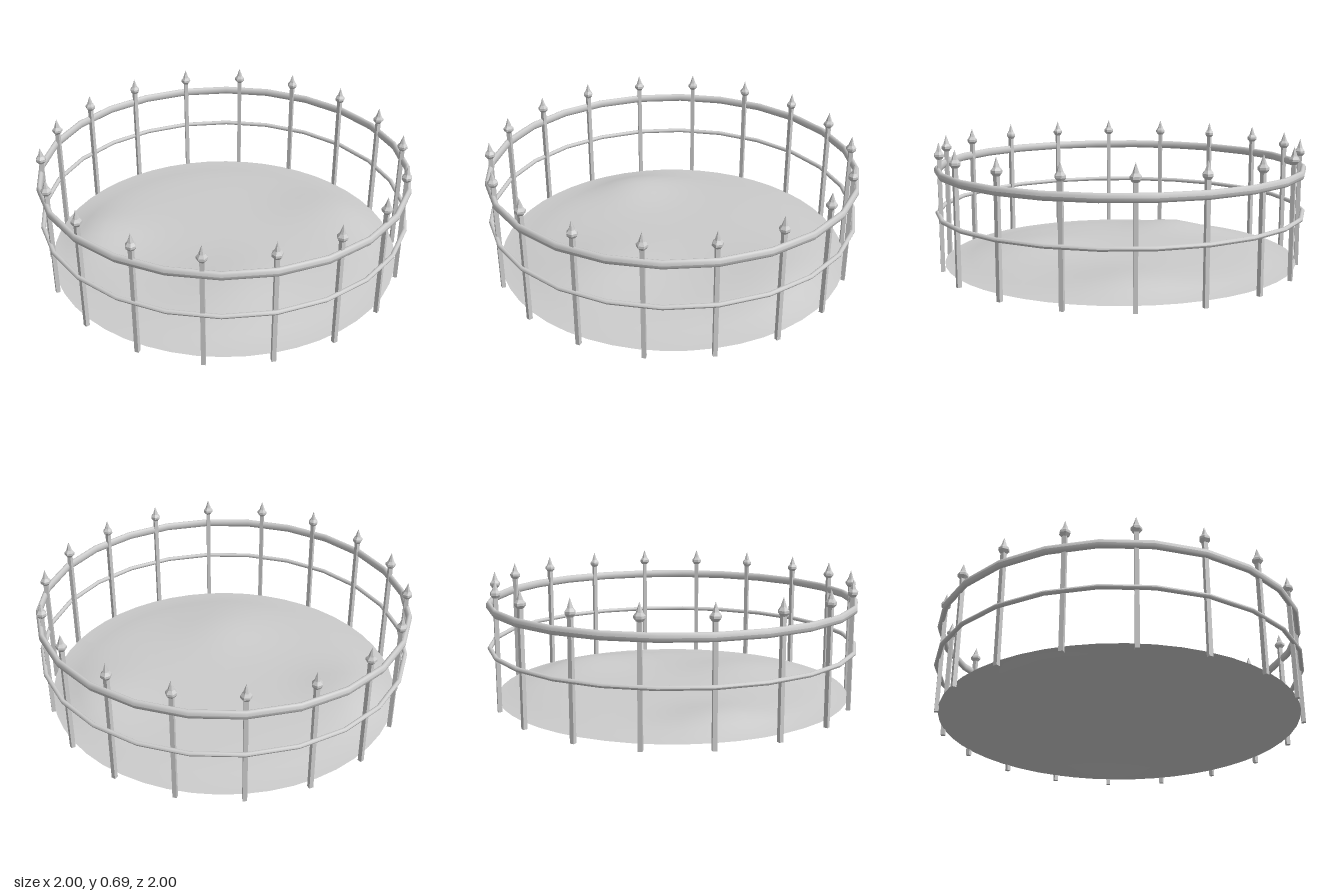
import * as THREE from 'three';

const POSTS = 18, SIDES = 24;
const mat = (opts = {}) => new THREE.MeshStandardMaterial({ color: 0xcccccc, ...opts });

// Ring with an elliptical section, outer edge at radius 1
function makeRail(name, y, halfWidth, halfHeight) {
  const profile = [];
  for (let i = 0; i <= 12; i++) {
    const a = (i / 12) * Math.PI * 2;
    profile.push(new THREE.Vector2(1 - halfWidth + Math.cos(a) * halfWidth, Math.sin(a) * halfHeight));
  }
  const rail = new THREE.Mesh(new THREE.LatheGeometry(profile, SIDES), mat());
  rail.name = name;
  rail.position.y = y;
  return rail;
}

// Uneven ground: a low dome with three soft mounds, falling to a level rim
function makeGround() {
  const radius = 0.958, rimY = 0.032;
  const mounds = [[-0.7, 0.1, 0.04, 0.16], [0.2, 0.43, 0.032, 0.2], [0.55, -0.45, 0.035, 0.2]];
  const geo = new THREE.RingGeometry(0.0001, radius, SIDES * 2, 14);
  geo.rotateX(-Math.PI / 2);
  const pos = geo.attributes.position;
  for (let i = 0; i < pos.count; i++) {
    let x = pos.getX(i), z = pos.getZ(i);
    const r = Math.hypot(x, z) / radius;
    let h = 0.035 * (1 - r ** 4);
    for (const [mx, mz, height, spread] of mounds) {
      const d2 = (x - mx) ** 2 + (z - mz) ** 2;
      h += height * Math.exp(-d2 / (2 * spread * spread));
    }
    pos.setY(i, rimY + h * Math.min(1, (1 - r) * 6));
  }
  geo.computeVertexNormals();
  const ground = new THREE.Mesh(geo, mat({ side: THREE.DoubleSide }));
  ground.name = 'ground';
  return ground;
}

export function createModel() {
  const model = new THREE.Group();
  model.name = 'roundFencedPlot';

  model.add(makeGround());
  model.add(makeRail('topRail', 0.533, 0.015, 0.023));
  model.add(makeRail('middleRail', 0.303, 0.012, 0.012));

  // Square posts with pointed finials
  const postGeo = new THREE.BoxGeometry(0.022, 0.61, 0.022).translate(0, 0.305, 0);
  const finialProfile = [[0, 0.6], [0.016, 0.6], [0.028, 0.615], [0.028, 0.627], [0.016, 0.642], [0, 0.69]]
    .map(([r, y]) => new THREE.Vector2(r, y));
  const finialGeo = new THREE.LatheGeometry(finialProfile, 6);
  const flat = mat({ flatShading: true });

  for (let i = 0; i < POSTS; i++) {
    const a = (i / POSTS) * Math.PI * 2;
    const post = new THREE.Group();
    post.name = `fencePost${i + 1}`;
    const shaft = new THREE.Mesh(postGeo, flat);
    shaft.name = 'shaft';
    const finial = new THREE.Mesh(finialGeo, flat);
    finial.name = 'finial';
    post.add(shaft, finial);
    post.position.set(Math.cos(a) * 0.968, 0, Math.sin(a) * 0.968 + 0.005);
    post.rotation.y = -a;
    model.add(post);
  }
  return model;
}
